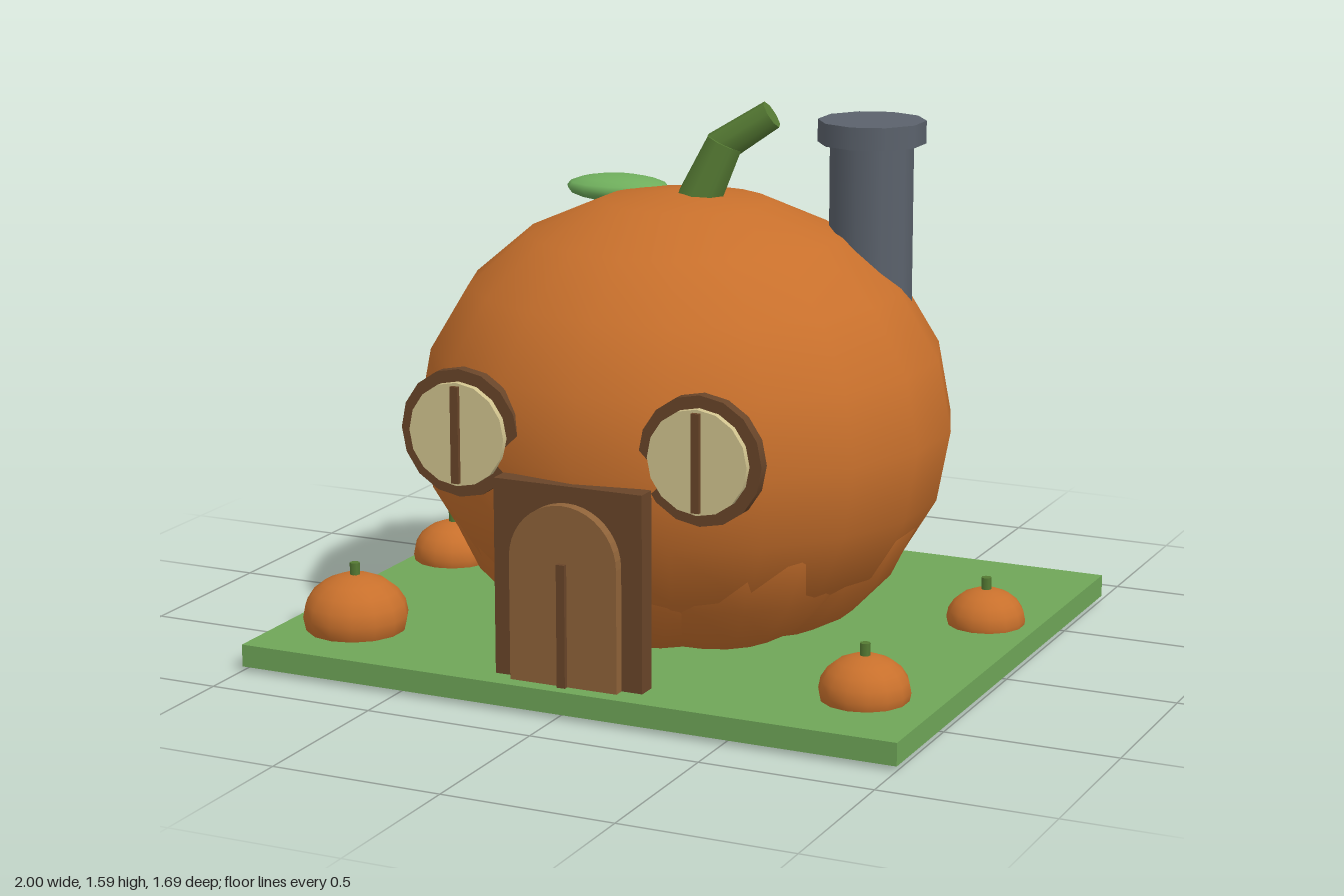
import * as THREE from 'three';

const mat = (name, color) => {
  const m = new THREE.MeshStandardMaterial({ color });
  m.name = name;
  return m;
};

export function createModel() {
  const root = new THREE.Group();
  root.name = 'pumpkinHouse';
  const orange = mat('pumpkin orange', 0xc8702c);
  const grass = mat('grass green', 0x6fa658);
  const leafGreen = mat('leaf green', 0x6fae5c);
  const stemGreen = mat('stem green', 0x557a33);
  const slate = mat('slate grey', 0x5b626c);
  const darkWood = mat('dark wood', 0x694529);
  const wood = mat('door wood', 0x8f6339);
  const cream = mat('window cream', 0xd2c48f);

  const add = (name, geo, material, x = 0, y = 0, z = 0, parent = root) => {
    const mesh = new THREE.Mesh(geo, material);
    mesh.name = name;
    mesh.position.set(x, y, z);
    parent.add(mesh);
    return mesh;
  };
  const box = (w, h, d) => new THREE.BoxGeometry(w, h, d);
  const ellipsoid = (rx, ry, rz, w = 18, h = 10) =>
    new THREE.SphereGeometry(1, w, h).rotateY(Math.PI / 2).scale(rx, ry, rz);
  const disc = (r, d, seg = 16) => new THREE.CylinderGeometry(r, r, d, seg).rotateX(Math.PI / 2);
  // Cylinder running between two points
  const rod = (name, a, b, rA, rB, seg, material) => {
    const from = new THREE.Vector3(...a), dir = new THREE.Vector3(...b).sub(from);
    const mesh = add(name, new THREE.CylinderGeometry(rB, rA, dir.length(), seg), material);
    mesh.position.copy(from).addScaledVector(dir, 0.5);
    mesh.quaternion.setFromUnitVectors(new THREE.Vector3(0, 1, 0), dir.normalize());
  };

  // Lawn
  add('lawn', box(2, 0.065, 1.69), grass, 0, 0.0475, 0);

  // Main pumpkin with eight lobes swelling out low down
  add('body', ellipsoid(0.782, 0.665, 0.745), orange, 0, 0.67, 0);
  const lobes = new THREE.Group();
  lobes.name = 'lobes';
  lobes.scale.z = 0.95;
  root.add(lobes);
  for (let i = 0; i < 8; i++) {
    const a = (i * Math.PI) / 4;
    const lobe = add('lobe', ellipsoid(0.5, 0.52, 0.48), orange,
      Math.cos(a) * 0.22, 0.55, -Math.sin(a) * 0.22, lobes);
    lobe.rotation.y = a;
  }

  // Bent stem and leaf
  rod('lowerStem', [0.03, 1.28, 0.005], [0.11, 1.47, -0.025], 0.068, 0.055, 8, stemGreen);
  rod('upperStem', [0.085, 1.45, -0.025], [0.24, 1.555, -0.06], 0.05, 0.043, 8, stemGreen);
  const leaf = add('leaf', ellipsoid(0.16, 0.04, 0.1, 12, 8), leafGreen, -0.29, 1.29, -0.155);
  leaf.rotation.y = 0.12;

  // Chimney
  add('chimney', new THREE.CylinderGeometry(0.12, 0.12, 0.65, 10), slate, 0.485, 1.15, -0.212);
  add('chimneyCap', new THREE.CylinderGeometry(0.155, 0.155, 0.065, 10), slate, 0.485, 1.502, -0.212);

  // Arched door in its frame
  add('doorFrame', box(0.45, 0.56, 0.06), darkWood, 0, 0.36, 0.737);
  const arch = new THREE.Shape();
  arch.moveTo(-0.163, 0.08);
  arch.lineTo(0.163, 0.08);
  arch.lineTo(0.163, 0.43);
  arch.absarc(0, 0.43, 0.163, 0, Math.PI, false);
  arch.closePath();
  add('door', new THREE.ExtrudeGeometry(arch, { depth: 0.034, bevelEnabled: false, curveSegments: 10 }),
    wood, 0, 0, 0.765);
  add('doorBar', box(0.025, 0.35, 0.014), darkWood, 0, 0.255, 0.806);

  // Round windows
  for (const s of [-1, 1]) {
    const win = new THREE.Group();
    win.name = s > 0 ? 'leftWindow' : 'rightWindow';
    win.position.set(s * 0.365, 0.735, 0);
    root.add(win);
    add('windowFrame', disc(0.182, 0.035), darkWood, 0, 0, 0.683, win);
    add('windowPane', disc(0.147, 0.02), cream, 0, 0, 0.71, win);
    add('windowBar', box(0.024, 0.275, 0.012), darkWood, 0, 0, 0.726, win);
  }

  // Small pumpkins on the lawn: x, z, radius
  for (const [x, z, r] of [[-0.875, -0.185, 0.125], [0.845, -0.245, 0.115],
    [-0.785, 0.57, 0.153], [0.785, 0.54, 0.128]]) {
    const g = new THREE.Group();
    g.name = 'smallPumpkin';
    g.position.set(x, 0, z);
    root.add(g);
    const ry = r * 0.79;
    add('fruit', ellipsoid(r, ry, r, 14, 10), orange, 0, ry + 0.002, 0, g);
    add('fruitStem', new THREE.CylinderGeometry(0.015, 0.015, 0.06, 7), stemGreen, 0, ry * 2 + 0.005, 0, g);
  }
  return root;
}
